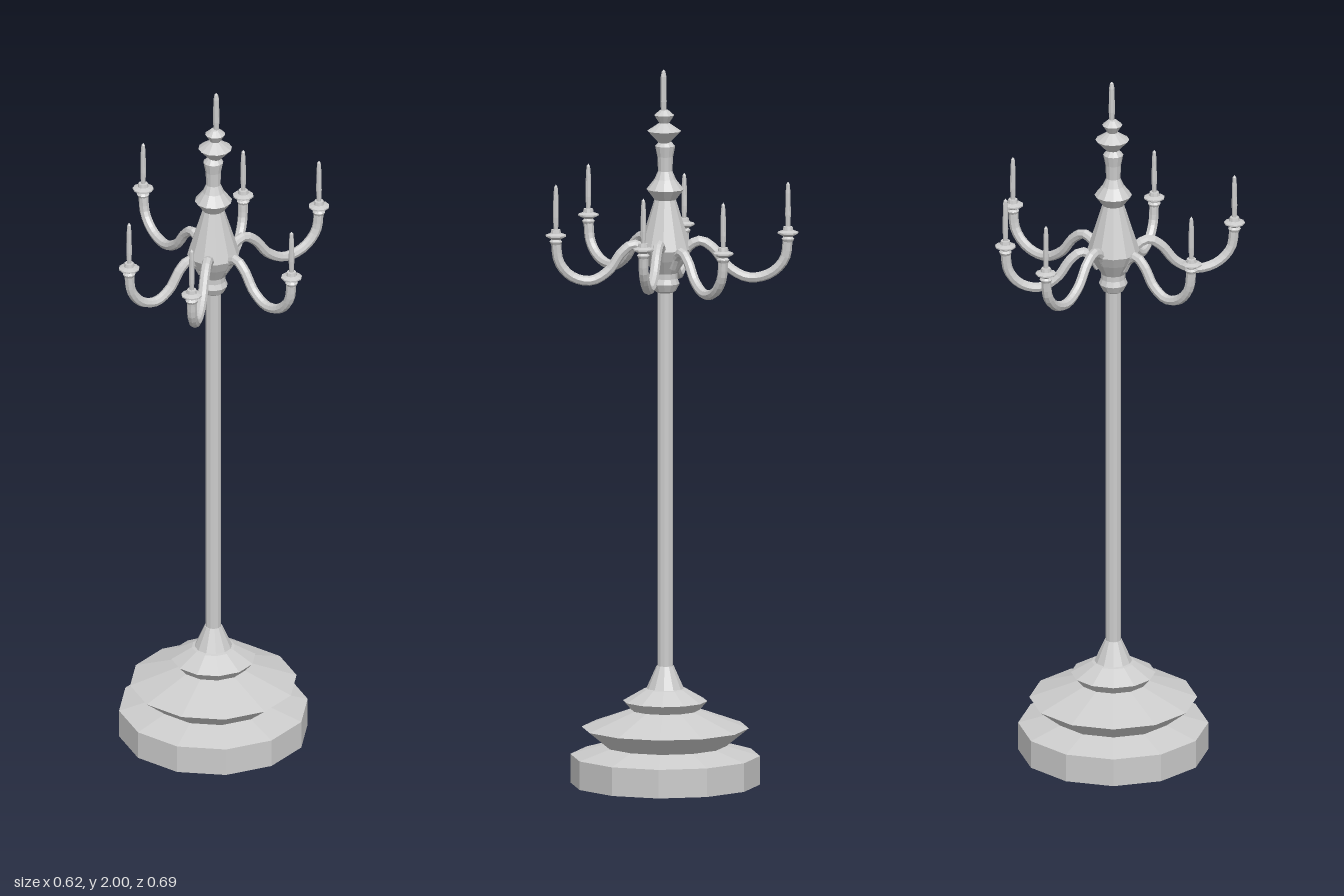
import * as THREE from 'three';

const material = new THREE.MeshStandardMaterial({ color: 0xcccccc, flatShading: true, side: THREE.DoubleSide });
const AXIS = { x: -0.033, z: -0.013 };

// Turned part from [radius, height] pairs, listed bottom to top
function turned(name, profile, sides) {
  const points = profile.map(([r, y]) => new THREE.Vector2(r, y));
  const mesh = new THREE.Mesh(new THREE.LatheGeometry(points, sides), material);
  mesh.name = name;
  return mesh;
}

// S-curved arm with a drip cup and candle, reaching along its local +x
function createArm(reach, lift) {
  const arm = new THREE.Group();
  arm.name = 'candleArm';
  const s = reach / 0.34;
  const path = [
    [0.045, 1.475], [0.07, 1.51], [0.1, 1.522], [0.135, 1.5], [0.175, 1.45],
    [0.23, 1.422], [0.29, 1.434], [0.33, 1.475], [0.34, 1.535],
  ].map(([d, y]) => new THREE.Vector3(d * s, y + lift, 0));
  const branch = new THREE.Mesh(
    new THREE.TubeGeometry(new THREE.CatmullRomCurve3(path), 24, 0.014, 8), material);
  branch.name = 'branch';

  const cup = turned('dripCup', [
    [0, 1.522], [0.014, 1.524], [0.018, 1.532], [0.012, 1.538], [0.029, 1.547],
    [0.029, 1.551], [0.015, 1.556], [0.013, 1.566], [0, 1.567],
  ], 10);
  const candle = turned('candle', [
    [0.006, 1.56], [0.008, 1.6], [0.007, 1.66], [0.005, 1.685], [0, 1.692],
  ], 8);
  for (const part of [cup, candle]) part.position.set(reach, lift, 0);
  arm.add(branch, cup, candle);
  return arm;
}

export function createModel() {
  const model = new THREE.Group();
  model.name = 'candelabra';
  const stand = new THREE.Group();
  stand.name = 'stand';
  stand.position.set(AXIS.x, 0, AXIS.z);
  model.add(stand);

  // Stepped foot, flaring in and out
  stand.add(turned('foot', [
    [0, 0], [0.263, 0], [0.263, 0.08], [0.17, 0.107], [0.232, 0.157], [0.095, 0.207],
    [0.117, 0.232], [0.06, 0.265], [0.052, 0.267], [0.024, 0.33], [0, 0.33],
  ], 12));

  // Pole
  stand.add(turned('pole', [[0.022, 0.32], [0.022, 1.39]], 12));

  // Vase-shaped hub with a collar below and beads above
  stand.add(turned('hub', [
    [0.022, 1.375], [0.03, 1.38], [0.04, 1.4], [0.034, 1.415], [0.034, 1.43],
    [0.058, 1.468], [0.073, 1.498], [0.03, 1.635], [0.052, 1.664], [0.03, 1.692],
    [0.02, 1.715], [0.022, 1.755], [0.028, 1.785], [0.016, 1.798],
  ], 12));

  // Finial and central candle
  const finial = turned('finial', [
    [0.016, 1.795], [0.047, 1.828], [0.014, 1.85], [0.028, 1.872], [0.012, 1.886], [0, 1.888],
  ], 12);
  const candle = turned('centreCandle', [
    [0.007, 1.88], [0.009, 1.91], [0.008, 1.98], [0.005, 1.995], [0, 2],
  ], 8);
  finial.position.x = 0.005;
  candle.position.x = 0.008;
  stand.add(finial, candle);

  // Arms: cup position x, z and vertical offset
  const cups = [
    [0.28, -0.152, 0], [0.087, -0.288, -0.025], [-0.188, -0.318, 0],
    [-0.282, 0.092, -0.025], [-0.137, 0.314, 0], [0.153, 0.226, -0.012],
  ];
  for (const [x, z, lift] of cups) {
    const dx = x - AXIS.x, dz = z - AXIS.z;
    const arm = createArm(Math.hypot(dx, dz), lift);
    arm.rotation.y = Math.atan2(-dz, dx);
    stand.add(arm);
  }
  return model;
}
